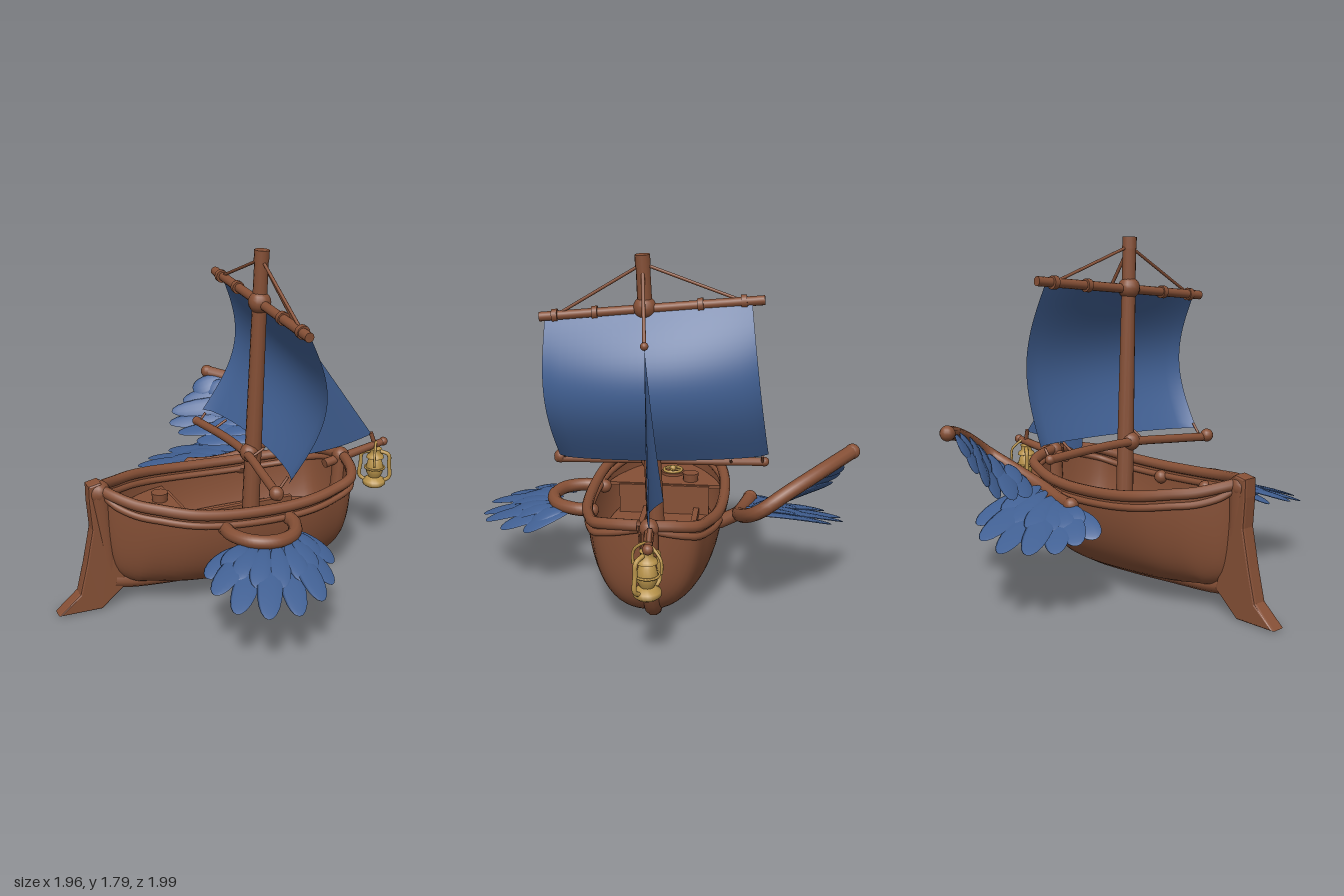
import * as THREE from 'three';

const V = (x, y, z) => new THREE.Vector3(x, y, z);
const curve = pts => new THREE.CatmullRomCurve3(pts.map(p => V(...p)), false, 'catmullrom');
const lerp = THREE.MathUtils.lerp;
const bow = t => Math.max(0, Math.sin(Math.PI * t));

export function createModel() {
  const model = new THREE.Group();
  const paint = (name, color) => {
    const m = new THREE.MeshStandardMaterial({ color, side: THREE.DoubleSide });
    m.name = name;
    return m;
  };
  const wood = paint('brown wood', 0x865036);
  const cloth = paint('blue cloth', 0x416093);
  const brass = paint('brass', 0xb8934a);

  const add = (name, geo, mat, parent = model) => {
    const mesh = new THREE.Mesh(geo, mat);
    mesh.name = name;
    parent.add(mesh);
    return mesh;
  };
  // Grid whose points follow a rule fn(u, v)
  const grid = (nu, nv, fn) => {
    const g = new THREE.PlaneGeometry(1, 1, nu, nv);
    const p = g.attributes.position;
    for (let i = 0; i < p.count; i++) {
      const q = fn(p.getX(i) + 0.5, 0.5 - p.getY(i));
      p.setXYZ(i, q.x, q.y, q.z);
    }
    g.computeVertexNormals();
    return g;
  };
  const ball = (name, p, r, mat = wood, parent = model) =>
    add(name, new THREE.SphereGeometry(r, 14, 10), mat, parent).position.set(...p);
  // Straight tapered rod between two points
  const rod = (name, a, b, r0, r1 = r0, mat = wood, parent = model) => {
    const A = V(...a), B = V(...b), d = B.clone().sub(A);
    const m = add(name, new THREE.CylinderGeometry(r1, r0, d.length(), 12), mat, parent);
    m.position.copy(A).add(B).multiplyScalar(0.5);
    m.quaternion.setFromUnitVectors(V(0, 1, 0), d.normalize());
  };
  const tube = (name, pts, r, mat = wood, parent = model, n = 40) =>
    add(name, new THREE.TubeGeometry(curve(pts), n, r, 10), mat, parent);
  // Curved limb with rounded ends
  const limb = (name, pts, r, parent = model) => {
    tube(name, pts, r, wood, parent);
    for (const p of [pts[0], pts[pts.length - 1]]) ball(name + 'End', p, r * 1.08, wood, parent);
  };

  // Hull stations: x, half width, rim height, keel height
  const stations = [
    [-0.72, 0.03, 0.65, 0.45], [-0.68, 0.09, 0.635, 0.22], [-0.6, 0.17, 0.61, 0.13],
    [-0.5, 0.24, 0.595, 0.11], [-0.35, 0.31, 0.57, 0.09], [-0.15, 0.342, 0.55, 0.075],
    [0.1, 0.345, 0.54, 0.06], [0.3, 0.325, 0.545, 0.06], [0.45, 0.285, 0.56, 0.085],
    [0.56, 0.24, 0.58, 0.15], [0.62, 0.135, 0.6, 0.26], [0.65, 0.02, 0.61, 0.45]];
  const rim = curve(stations.map(s => [s[0], s[2], s[1]]));
  const keel = curve(stations.map(s => [s[0], s[3], 0]));
  const flare = s => s ** (0.9 - 0.2 * s);
  const hullPoint = (u, a) => {
    const r = rim.getPoint(u), k = keel.getPoint(u), s = Math.sin(a);
    return V(r.x, r.y - (r.y - k.y) * Math.cos(a), Math.sign(s) * r.z * flare(Math.abs(s)));
  };
  add('hull', grid(44, 28, (u, v) => hullPoint(u, (v - 0.5) * Math.PI)), wood);

  // Rim and a shallow strake run down both sides
  for (const side of [-1, 1]) {
    const line = a => Array.from({ length: 23 }, (_, i) => hullPoint(i / 22, side * a).toArray());
    tube('rim', line(Math.PI / 2), 0.028, wood, model, 80);
    tube('strake', line(1.45), 0.018, wood, model, 80);
  }

  // Decks are cut to the inside of the hull at their height
  const deck = (name, u0, u1, y) => {
    const half = [];
    for (let i = 0; i <= 24; i++) {
      const u = lerp(u0, u1, i / 24), r = rim.getPoint(u), k = keel.getPoint(u);
      const c = (r.y - y + 0.02) / (r.y - k.y);
      if (c < 1) half.push(new THREE.Vector2(r.x, 0.98 * r.z * flare(Math.sqrt(1 - c * c))));
    }
    const back = half.map(p => new THREE.Vector2(p.x, -p.y)).reverse();
    const g = new THREE.ExtrudeGeometry(new THREE.Shape([...half, ...back]), { depth: 0.02, bevelEnabled: false });
    add(name, g.rotateX(-Math.PI / 2), wood).position.y = y - 0.02;
  };
  deck('floor', 0.2, 0.97, 0.3);
  deck('sternDeck', 0.06, 0.39, 0.47);
  add('bulkhead', new THREE.BoxGeometry(0.02, 0.18, 0.5), wood).position.set(-0.29, 0.375, 0);
  for (const z of [-0.18, 0.1])
    add('floorBeam', new THREE.BoxGeometry(0.72, 0.04, 0.03), wood).position.set(0.07, 0.32, z);

  // Keel, stem and stern post with its rudder foot
  tube('keel', [[-0.68, 0.14, 0], [-0.55, 0.115, 0], [-0.3, 0.095, 0], [0, 0.077, -0.01], [0.28, 0.072, -0.02],
    [0.47, 0.105, -0.03], [0.57, 0.2, -0.03], [0.635, 0.38, -0.03], [0.655, 0.6, -0.03]], 0.043);
  ball('stemHead', [0.655, 0.6, -0.03], 0.047);
  const post = new THREE.Shape([[-0.97, 0.01], [-0.76, 0.01], [-0.63, 0.12], [-0.66, 0.25], [-0.7, 0.45], [-0.69, 0.64],
    [-0.74, 0.69], [-0.79, 0.68], [-0.79, 0.6], [-0.78, 0.45], [-0.82, 0.26], [-0.86, 0.1]].map(p => new THREE.Vector2(...p)));
  add('sternPost', new THREE.ExtrudeGeometry(post, { depth: 0.05, bevelThickness: 0.015, bevelSize: 0.01, bevelSegments: 2 }), wood)
    .position.z = -0.03;
  rod('sternPostNeck', [-0.7, 0.2, 0], [-0.74, 0.64, 0], 0.035, 0.058);
  ball('sternPostHead', [-0.74, 0.64, 0], 0.06);

  // Mast, yard and boom
  rod('mast', [0.09, 0.29, 0], [0.115, 1.76, 0.063], 0.048, 0.035);
  rod('mastCap', [0.114, 1.73, 0.062], [0.116, 1.79, 0.065], 0.038);
  rod('yard', [0.11, 1.475, 0.58], [0.12, 1.58, -0.53], 0.024);
  ball('yardKnot', [0.11, 1.53, 0.055], 0.058);
  const yardAt = z => [0.115, lerp(1.475, 1.58, (0.58 - z) / 1.11), z];
  for (const z of [0.5, 0.3, -0.22, -0.43]) rod('yardLashing', yardAt(z + 0.014), yardAt(z - 0.014), 0.034);
  limb('boom', [[-0.01, 0.7, 0.53], [0.02, 0.715, 0.3], [0.05, 0.73, 0.04], [0.045, 0.73, -0.25], [0.01, 0.725, -0.55]], 0.023);
  ball('boomKnob', [-0.015, 0.71, 0.52], 0.036);
  ball('boomKnot', [0.07, 0.73, 0.03], 0.05);

  // Rigging
  const top = [0.115, 1.745, 0.063];
  rod('rope', top, yardAt(0.5), 0.008);
  rod('rope', top, yardAt(-0.43), 0.008);
  rod('forestay', top, [0.33, 1.38, 0.03], 0.009);
  ball('stayKnot', [0.33, 1.385, 0.03], 0.02);
  for (const z of [0.49, -0.54]) rod('sailTie', [0.06, 0.77, z], [0.02, 0.72, z], 0.007);
  for (const z of [0.1, -0.38]) rod('sailTie', [0.12, 0.77, z], [0.04, 0.725, z], 0.007);

  // Billowing main sail, its foot held in front of the mast, and the jib
  add('mainSail', grid(24, 24, (u, v) => V(
    lerp(0.135, 0.055, v) + bow(v) * (0.135 + 0.045 * bow(u)) + 0.1 * v * v * Math.sqrt(bow(u)),
    lerp(lerp(1.46, 1.56, u), lerp(0.74, 0.78, u), v),
    lerp(lerp(0.55, -0.47, u), lerp(0.51, -0.57, u), v) + 0.015 * bow(v) * (1 - u))), cloth);
  add('jib', grid(14, 20, (u, v) => V(
    lerp(0.33 + 0.03 * v + 0.035 * bow(v), 0.33 + 0.54 * v, u),
    lerp(lerp(1.38, 0.62, v), lerp(1.38, 0.68, v), u),
    lerp(lerp(0.03, -0.065, v), lerp(0.03, -0.06, v), u) + 0.04 * bow(u) * v)), cloth);

  // Bowsprit with the hanging lantern
  rod('bowsprit', [0.55, 0.57, -0.02], [0.95, 0.625, -0.06], 0.026, 0.02);
  ball('bowspritTip', [0.95, 0.625, -0.06], 0.025);
  rod('jibTie', [0.865, 0.69, -0.06], [0.89, 0.62, -0.055], 0.012);
  const lantern = new THREE.Group();
  lantern.name = 'lantern';
  lantern.position.set(0.895, 0.37, -0.05);
  model.add(lantern);
  const lathe = (name, pts) =>
    add(name, new THREE.LatheGeometry(pts.map(p => new THREE.Vector2(...p)), 18), brass, lantern);
  lathe('lanternBase', [[0, 0], [0.05, 0], [0.064, 0.012], [0.064, 0.035], [0.035, 0.055], [0, 0.055]]);
  lathe('lanternGlobe', [[0.03, 0.05], [0.046, 0.08], [0.05, 0.11], [0.04, 0.15], [0.03, 0.165]]);
  lathe('lanternCap', [[0.05, 0.17], [0.045, 0.185], [0.03, 0.195], [0.03, 0.22], [0.036, 0.225], [0, 0.24]]);
  for (const a of [0.6, 0.6 + Math.PI]) {
    const c = Math.cos(a), s = Math.sin(a);
    tube('lanternFrame', [[0.05, 0.03], [0.085, 0.06], [0.08, 0.13], [0.075, 0.19], [0.025, 0.21]]
      .map(([r, y]) => [r * c, y, r * s]), 0.011, brass, lantern, 20);
    tube('lanternHandle', [[0.085, 0.14], [0.082, 0.2], [0.045, 0.24], [0, 0.265]]
      .map(([r, y]) => [-r * s, y, r * c]), 0.007, brass, lantern, 16);
  }
  const guard = add('lanternGuard', new THREE.TorusGeometry(0.055, 0.006, 6, 20), brass, lantern);
  guard.rotation.x = Math.PI / 2;
  guard.position.y = 0.11;

  // Binnacle and stool on the stern deck
  rod('compassPlinth', [-0.48, 0.465, -0.03], [-0.48, 0.485, -0.03], 0.066);
  const ring = add('compassRing', new THREE.TorusGeometry(0.05, 0.008, 8, 24), brass);
  ring.rotation.x = Math.PI / 2;
  ring.position.set(-0.48, 0.492, -0.03);
  for (let i = 0; i < 2; i++) {
    const a = 0.3 + i * Math.PI / 2, x = 0.05 * Math.cos(a), z = 0.05 * Math.sin(a);
    rod('compassSpoke', [-0.48 - x, 0.495, -0.03 - z], [-0.48 + x, 0.495, -0.03 + z], 0.006, 0.006, brass);
  }
  ball('compassHub', [-0.48, 0.5, -0.03], 0.018, brass);
  rod('stool', [-0.37, 0.46, -0.14], [-0.37, 0.515, -0.14], 0.04, 0.045);

  // Feather: a flattened leaf, widest towards its tip, lying in the surface of its fan
  const leaf = new THREE.SphereGeometry(1, 10, 12);
  const lp = leaf.attributes.position;
  for (let i = 0; i < lp.count; i++) {
    const t = (lp.getY(i) + 1) / 2;
    lp.setXYZ(i, lp.getX(i) * (0.65 + 0.45 * t), t, lp.getZ(i) + 6 * t * (1 - t));
  }
  leaf.computeVertexNormals();
  const feather = (root, tip, spread, width, lift, parent) => {
    const axis = tip.clone().sub(root), len = axis.length();
    axis.normalize();
    const side = spread.clone().addScaledVector(axis, -spread.dot(axis)).normalize();
    const up = side.clone().cross(axis);
    if (up.y < 0) {
      side.negate();
      up.negate();
    }
    const m = add('feather', leaf, cloth, parent);
    m.quaternion.setFromRotationMatrix(new THREE.Matrix4().makeBasis(side, axis, up));
    m.position.copy(root).addScaledVector(up, lift);
    m.scale.set(width, len, 0.009);
  };
  // Fan of long feathers with a shorter layer on top
  const fan = (roots, tips, n, width, parent) => {
    const a = curve(roots), b = curve(tips);
    const place = (t, reach, w, lift) => {
      const root = a.getPoint(t), tip = root.clone().lerp(b.getPoint(t), reach);
      const spread = a.getTangent(t).add(b.getTangent(t));
      feather(root, tip, spread, w, lift, parent);
    };
    for (let i = 0; i < n; i++) {
      place(i / (n - 1), 1, width, (i % 2) * 0.01);
      if (i < n - 1) place((i + 0.5) / (n - 1), 0.62, width * 0.85, 0.018);
    }
  };
  const wing = name => {
    const g = new THREE.Group();
    g.name = name;
    model.add(g);
    return g;
  };

  // Left wing spread low
  const left = wing('leftWing');
  limb('wingArm', [[-0.2, 0.48, 0.32], [-0.2, 0.485, 0.43], [-0.14, 0.485, 0.53], [-0.03, 0.48, 0.565],
    [0.08, 0.475, 0.52], [0.14, 0.475, 0.42], [0.15, 0.475, 0.33]], 0.035, left);
  fan([[-0.17, 0.445, 0.48], [-0.09, 0.44, 0.54], [0.04, 0.44, 0.54], [0.13, 0.445, 0.45]],
    [[-0.41, 0.38, 0.6], [-0.43, 0.36, 0.77], [-0.36, 0.335, 0.93], [-0.2, 0.32, 0.99], [-0.03, 0.325, 0.96],
      [0.11, 0.34, 0.85], [0.21, 0.355, 0.68]], 8, 0.066, left);

  // Right wing raised, in a lower and an upper fan
  const right = wing('rightWing');
  limb('wingArm', [[-0.06, 0.5, -0.48], [0.08, 0.5, -0.45], [0.25, 0.53, -0.43], [0.45, 0.6, -0.47], [0.56, 0.67, -0.54],
    [0.53, 0.76, -0.67], [0.42, 0.83, -0.82], [0.25, 0.875, -0.97]], 0.035, right);
  rod('wingRoot', [0.2, 0.46, -0.33], [0.22, 0.52, -0.43], 0.035, 0.035, wood, right);
  fan([[-0.05, 0.48, -0.48], [0.08, 0.49, -0.46], [0.26, 0.53, -0.45]],
    [[-0.3, 0.39, -0.52], [-0.3, 0.37, -0.66], [-0.27, 0.36, -0.8], [-0.19, 0.37, -0.94], [-0.03, 0.39, -0.97],
      [0.12, 0.44, -0.9]], 7, 0.07, right);
  fan([[0.38, 0.58, -0.47], [0.55, 0.66, -0.56], [0.5, 0.76, -0.69], [0.34, 0.84, -0.88]],
    [[0.06, 0.55, -0.68], [-0.02, 0.57, -0.83], [-0.02, 0.63, -0.93], [0.06, 0.7, -0.94], [0.15, 0.77, -0.95]], 6, 0.062, right);

  return model;
}
